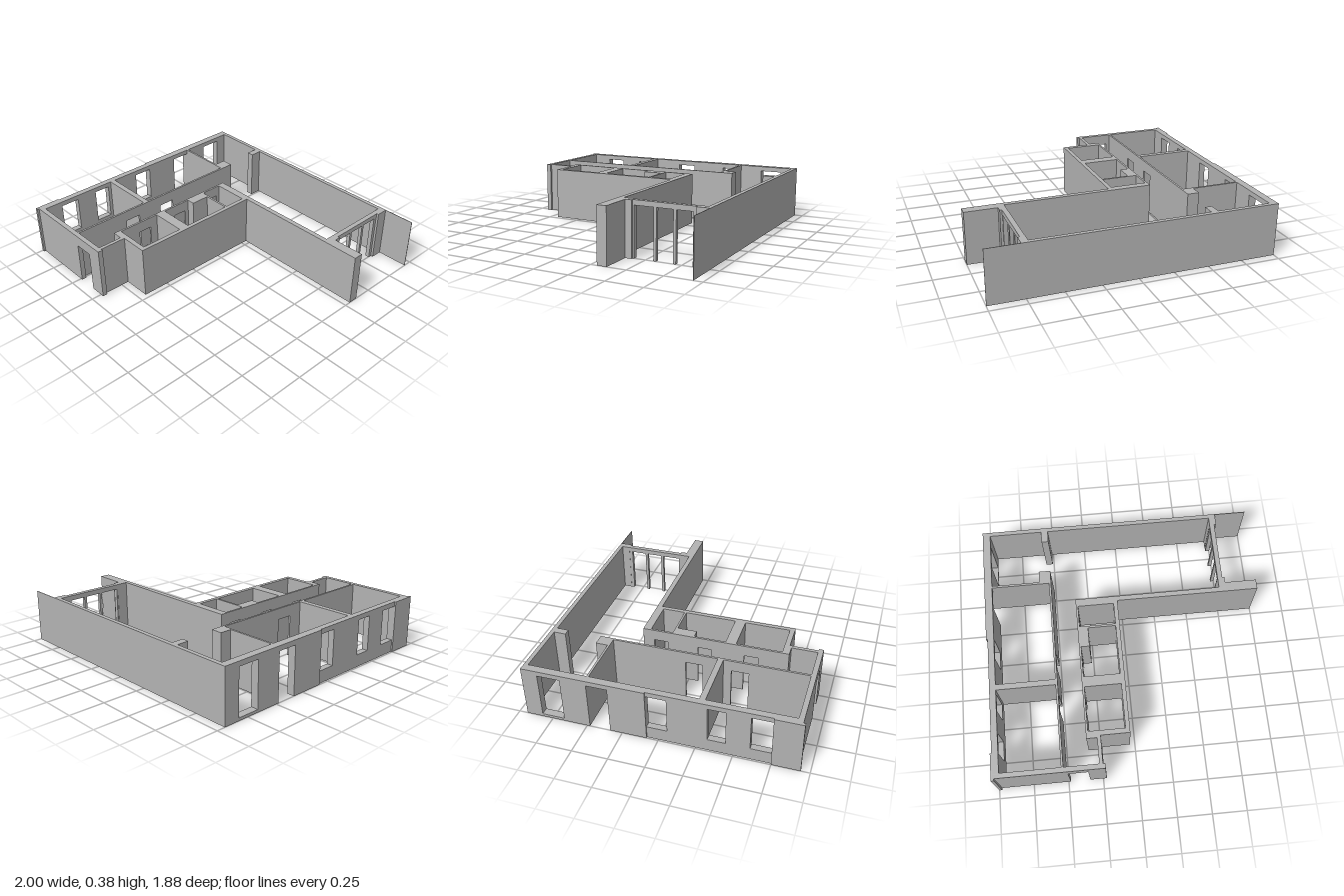
import * as THREE from 'three';

const H = 0.38;      // wall height
const HEAD = 0.345;  // window head height
const DOOR = 0.30;   // door head height

export function createModel() {
  const group = new THREE.Group();
  const plaster = new THREE.MeshStandardMaterial({ color: 0xb3b3b3 });
  plaster.name = 'plaster grey';

  const add = (name, geometry) => {
    const mesh = new THREE.Mesh(geometry, plaster);
    mesh.name = name;
    group.add(mesh);
    return mesh;
  };

  // Solid block given by its plan rectangle
  const block = (name, x0, x1, z0, z1, y1 = H) => {
    const mesh = add(name, new THREE.BoxGeometry(x1 - x0, y1, z1 - z0));
    mesh.position.set((x0 + x1) / 2, y1 / 2, (z0 + z1) / 2);
  };

  // Wall elevation from a to b; openings are [start, end, sill, head], in order.
  // Openings at floor level notch the outline, raised ones become holes.
  const elevation = (a, b, openings) => {
    const shape = new THREE.Shape();
    shape.moveTo(a, 0);
    for (const [s, e, sill, head] of openings) {
      if (sill > 0) {
        const hole = new THREE.Path();
        hole.moveTo(s, sill).lineTo(s, head).lineTo(e, head).lineTo(e, sill).closePath();
        shape.holes.push(hole);
      } else {
        shape.lineTo(s, 0).lineTo(s, head).lineTo(e, head).lineTo(e, 0);
      }
    }
    shape.lineTo(b, 0).lineTo(b, H).lineTo(a, H).closePath();
    return shape;
  };

  const wallAlongX = (name, x0, x1, z0, z1, openings) => {
    const g = new THREE.ExtrudeGeometry(elevation(x0, x1, openings), { depth: z1 - z0, bevelEnabled: false });
    add(name, g.translate(0, 0, z0));
  };
  const wallAlongZ = (name, x0, x1, z0, z1, openings) => {
    const g = new THREE.ExtrudeGeometry(elevation(z0, z1, openings), { depth: x1 - x0, bevelEnabled: false });
    add(name, g.rotateY(-Math.PI / 2).translate(x1, 0, 0));
  };

  // Window wall, with a slightly thicker outer skin at both ends
  const rearWindows = [[-0.825, -0.665, 0.02, HEAD], [-0.48, -0.335, 0, HEAD]];
  const sideWindows = [[-0.08, 0.06, 0.09, HEAD], [0.33, 0.45, 0.09, HEAD], [0.61, 0.75, 0.09, HEAD]];
  wallAlongZ('windowWall', -0.99, -0.945, -0.94, 0.925, [...rearWindows, ...sideWindows]);
  wallAlongZ('windowWallRearSkin', -1, -0.99, -0.94, -0.08, rearWindows);
  block('windowWallFrontSkin', -1, -0.99, 0.75, 0.925);
  block('frontCornerStrip', -1, -0.98, 0.925, 0.94);

  // Back wall and the thin screen continuing past the corner
  block('backWall', -0.945, 0.72, -0.94, -0.91);
  block('backScreen', 0.77, 1, -0.94, -0.936);

  // Glazed end of the large room: header, end piers and slim posts
  const header = add('glazingHeader', new THREE.BoxGeometry(0.035, H - HEAD, 0.44));
  header.position.set(0.7375, (H + HEAD) / 2, -0.63);
  block('glazingPierBack', 0.72, 0.77, -0.94, -0.85);
  block('glazingPierFront', 0.72, 0.77, -0.41, -0.33);
  block('glazingJambBack', 0.722, 0.753, -0.85, -0.825, HEAD);
  block('glazingJambFront', 0.722, 0.753, -0.42, -0.41, HEAD);
  for (const z of [-0.7, -0.565]) block('glazingPost', 0.725, 0.75, z - 0.01, z + 0.01, HEAD);

  // Long wall of the large room with its thick end
  block('longWall', -0.34, 0.77, -0.33, -0.295);
  block('longWallEnd', 0.77, 1, -0.365, -0.295);
  block('longWallThickening', -0.34, -0.035, -0.295, -0.275);

  // Piers and partitions of the bedrooms
  block('backPier', -0.56, -0.51, -0.91, -0.825);
  block('partitionPier', -0.595, -0.51, -0.58, -0.48);
  block('rearPartition', -0.945, -0.595, -0.495, -0.48);
  block('middlePartition', -0.945, -0.525, 0.265, 0.305);
  wallAlongZ('corridorBedroomWall', -0.525, -0.51, -0.48, 0.89,
    [[0.04, 0.16, 0, DOOR], [0.36, 0.48, 0, DOOR]]);

  // Entrance wall and the short return beside it
  wallAlongX('entranceWall', -0.99, -0.225, 0.89, 0.925, [[-0.485, -0.345, 0, DOOR]]);
  block('entranceReturn', -0.265, -0.24, 0.71, 0.89);

  // Row of small rooms beside the corridor
  wallAlongZ('corridorServiceWall', -0.34, -0.325, -0.275, 0.66,
    [[-0.25, -0.15, 0, DOOR], [0.07, 0.17, 0, DOOR], [0.4, 0.5, 0, DOOR]]);
  block('serviceOuterWall', -0.065, -0.035, -0.275, 0.695);
  block('servicePartitionThin', -0.325, -0.065, -0.115, -0.1);
  block('serviceDuct', -0.325, -0.265, -0.1, 0.04);
  block('servicePartitionThick', -0.325, -0.065, 0.265, 0.34);
  block('serviceFrontWall', -0.34, -0.065, 0.66, 0.695);
  block('serviceFrontStep', -0.34, -0.24, 0.695, 0.71);

  return group;
}
